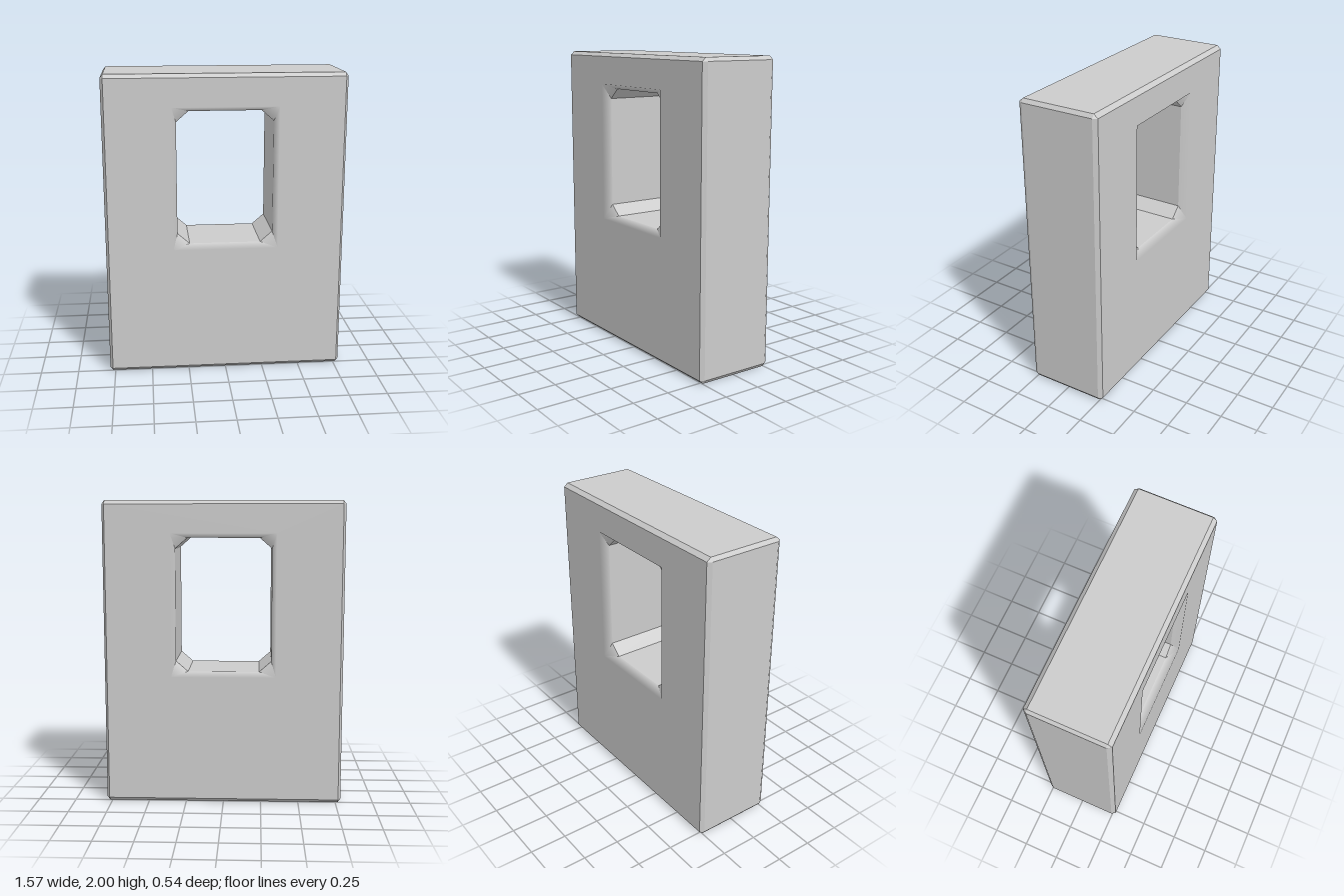
import * as THREE from 'three';

const DEPTH = 0.272; // half thickness of the slab

// Eight points, anticlockwise from the front: a rectangle whose corners are cut by cx, cy.
// With inset = true each corner pair collapses to the point (w - cx, h - cy).
function loop(w, h, cx, cy, yMid, z, inset = false) {
  const points = [];
  for (const [sx, sy] of [[1, 1], [-1, 1], [-1, -1], [1, -1]]) {
    const side = [inset ? w - cx : w, h - cy];
    const end = [w - cx, inset ? h - cy : h];
    const pair = sx * sy > 0 ? [side, end] : [end, side];
    for (const [x, y] of pair) points.push(new THREE.Vector3(sx * x, yMid + sy * y, z));
  }
  return points;
}

function slabGeometry() {
  const outer = (z, inset) => loop(0.785, 1, 0.018, 0.024, 1, z, inset);
  const hole = (z) => loop(0.315, 0.44, 0.08, 0.07, 1.32, z);
  const rim = (z) => loop(0.345, 0.47, 0, 0, 1.32, z);
  const edge = DEPTH - 0.027, lip = DEPTH - 0.055;

  // Closed run of sections: outside front to back, then back through the window
  const sections = [
    outer(DEPTH, true), outer(edge), outer(-edge), outer(-DEPTH, true),
    rim(-DEPTH), hole(-lip), hole(lip), rim(DEPTH),
  ];

  const positions = [];
  const triangle = new THREE.Triangle();
  const addTriangle = (a, b, c) => {
    if (triangle.set(a, b, c).getArea() < 1e-8) return;
    for (const p of [a, b, c]) positions.push(p.x, p.y, p.z);
  };
  sections.forEach((from, i) => {
    const to = sections[(i + 1) % sections.length];
    for (let j = 0; j < 8; j++) {
      const k = (j + 1) % 8;
      addTriangle(from[j], to[j], to[k]);
      addTriangle(from[j], to[k], from[k]);
    }
  });

  const geometry = new THREE.BufferGeometry();
  geometry.setAttribute('position', new THREE.Float32BufferAttribute(positions, 3));
  geometry.computeVertexNormals();

  // The window bevel blends softly into the flat faces
  const pos = geometry.attributes.position;
  for (let i = 0; i < pos.count; i++) {
    const z = pos.getZ(i);
    if (Math.abs(z) > DEPTH - 0.001 && Math.abs(pos.getX(i)) < 0.4) {
      geometry.attributes.normal.setXYZ(i, 0, 0, Math.sign(z));
    }
  }
  return geometry;
}

export function createModel() {
  const group = new THREE.Group();
  group.name = 'windowBlock';
  const slab = new THREE.Mesh(slabGeometry(), new THREE.MeshStandardMaterial({ color: 0xcccccc }));
  slab.name = 'wallSlabWithWindow';
  group.add(slab);
  return group;
}
